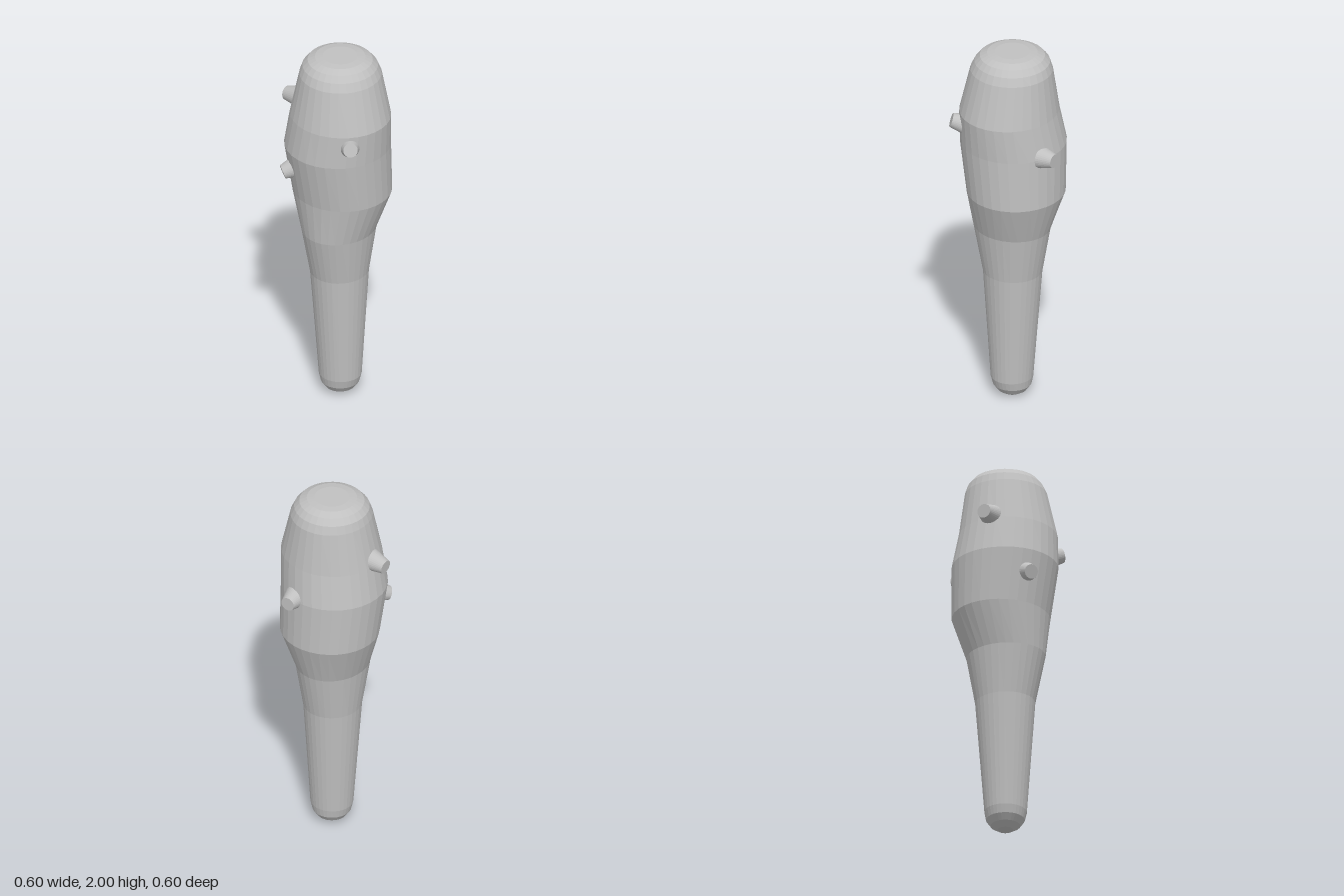
import * as THREE from 'three';

const SIDES = 32;

// Skin a stack of elliptical rings: [y, xMin, xMax, zMin, zMax], bottom to top
function loft(rings) {
  const pos = [], index = [];
  for (const [y, x0, x1, z0, z1] of rings) {
    for (let j = 0; j < SIDES; j++) {
      const a = (j / SIDES) * Math.PI * 2;
      pos.push((x0 + x1) / 2 + Math.cos(a) * (x1 - x0) / 2, y,
        (z0 + z1) / 2 + Math.sin(a) * (z1 - z0) / 2);
    }
  }
  for (let i = 0; i < rings.length - 1; i++) {
    for (let j = 0; j < SIDES; j++) {
      const k = (j + 1) % SIDES, lo = i * SIDES, hi = lo + SIDES;
      if (rings[i + 1][1] < rings[i + 1][2]) index.push(lo + j, hi + j, hi + k);
      if (rings[i][1] < rings[i][2]) index.push(lo + j, hi + k, lo + k);
    }
  }
  const g = new THREE.BufferGeometry();
  g.setAttribute('position', new THREE.Float32BufferAttribute(pos, 3));
  g.setIndex(index);
  g.computeVertexNormals();
  return g;
}

// Circular ring around the club's slightly offset axis
const round = (y, r) => [y, -0.02 - r, -0.02 + r, 0.024 - r, 0.024 + r];

export function createModel() {
  const group = new THREE.Group();
  group.name = 'club';
  const grey = new THREE.MeshStandardMaterial({ color: 0xc0c0c0, flatShading: true });
  grey.name = 'grey';

  // Club body: rounded butt, tapering handle, lopsided head, rounded top
  const body = new THREE.Mesh(loft([
    round(0, 0), round(0.005, 0.04), round(0.028, 0.077), round(0.06, 0.1),
    [0.105, -0.13, 0.088, -0.087, 0.137],
    [0.72, -0.177, 0.135, -0.13, 0.17],
    [0.98, -0.233, 0.183, -0.165, 0.206],
    [1.2, -0.25, 0.256, -0.24, 0.28],
    [1.48, -0.3, 0.252, -0.265, 0.286],
    [1.665, -0.285, 0.222, -0.232, 0.3],
    [1.9, -0.236, 0.192, -0.185, 0.24],
    round(1.945, 0.195), round(1.977, 0.168), round(1.995, 0.13), round(2, 0.09), round(2, 0),
  ]), grey);
  body.name = 'clubBody';
  group.add(body);

  // Blunt studs: base centre (sunk into the head) and tip centre
  const studs = [
    [[0.22, 1.485, 0.08], [0.3, 1.485, 0.072]],
    [[-0.05, 1.685, -0.2], [-0.048, 1.675, -0.298]],
    [[-0.165, 1.585, 0.19], [-0.238, 1.615, 0.252]],
    [[-0.19, 1.375, -0.115], [-0.257, 1.345, -0.168]],
  ];
  for (const [base, tip] of studs) {
    const a = new THREE.Vector3(...base), b = new THREE.Vector3(...tip);
    const dir = b.clone().sub(a);
    const stud = new THREE.Mesh(new THREE.CylinderGeometry(0.037, 0.06, dir.length(), SIDES), grey);
    stud.position.copy(a).add(b).multiplyScalar(0.5);
    stud.quaternion.setFromUnitVectors(new THREE.Vector3(0, 1, 0), dir.normalize());
    stud.name = 'stud';
    group.add(stud);
  }
  return group;
}
